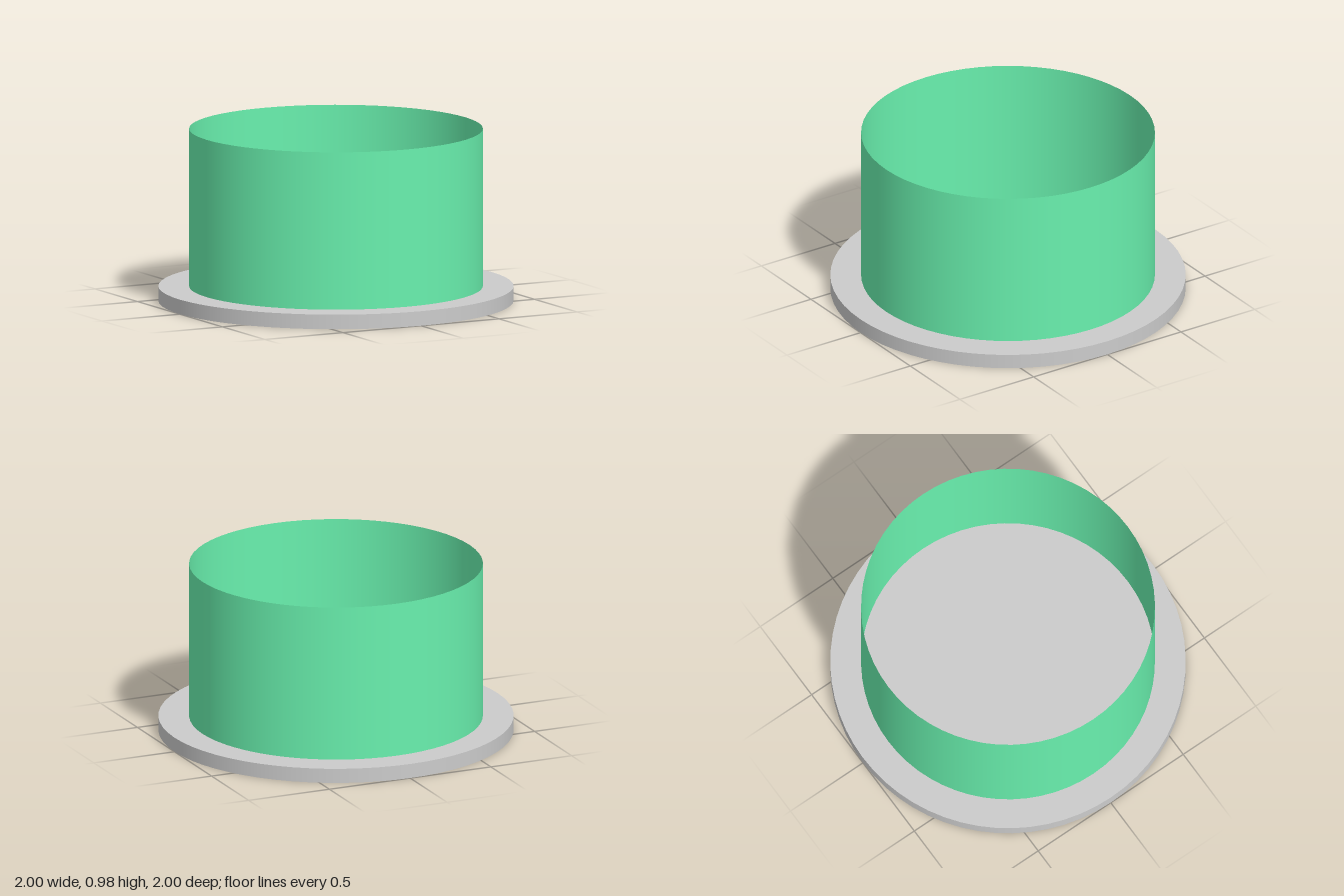
import * as THREE from 'three';

const SEGMENTS = 64;
const BASE_HEIGHT = 0.083;
const TOTAL_HEIGHT = 0.98;

export function createModel() {
  const model = new THREE.Group();

  // Solid round base plate
  const base = new THREE.Mesh(
    new THREE.CylinderGeometry(1, 1, BASE_HEIGHT, SEGMENTS),
    new THREE.MeshStandardMaterial({ color: 0xcccccc })
  );
  base.name = 'basePlate';
  base.position.y = BASE_HEIGHT / 2;
  model.add(base);

  // Thin open-topped wall standing on the plate
  const wallHeight = TOTAL_HEIGHT - BASE_HEIGHT;
  const wall = new THREE.Mesh(
    new THREE.CylinderGeometry(0.827, 0.827, wallHeight, SEGMENTS, 1, true),
    new THREE.MeshStandardMaterial({ color: 0x69f0ae, side: THREE.DoubleSide })
  );
  wall.name = 'ringWall';
  wall.position.y = BASE_HEIGHT + wallHeight / 2;
  model.add(wall);

  return model;
}
